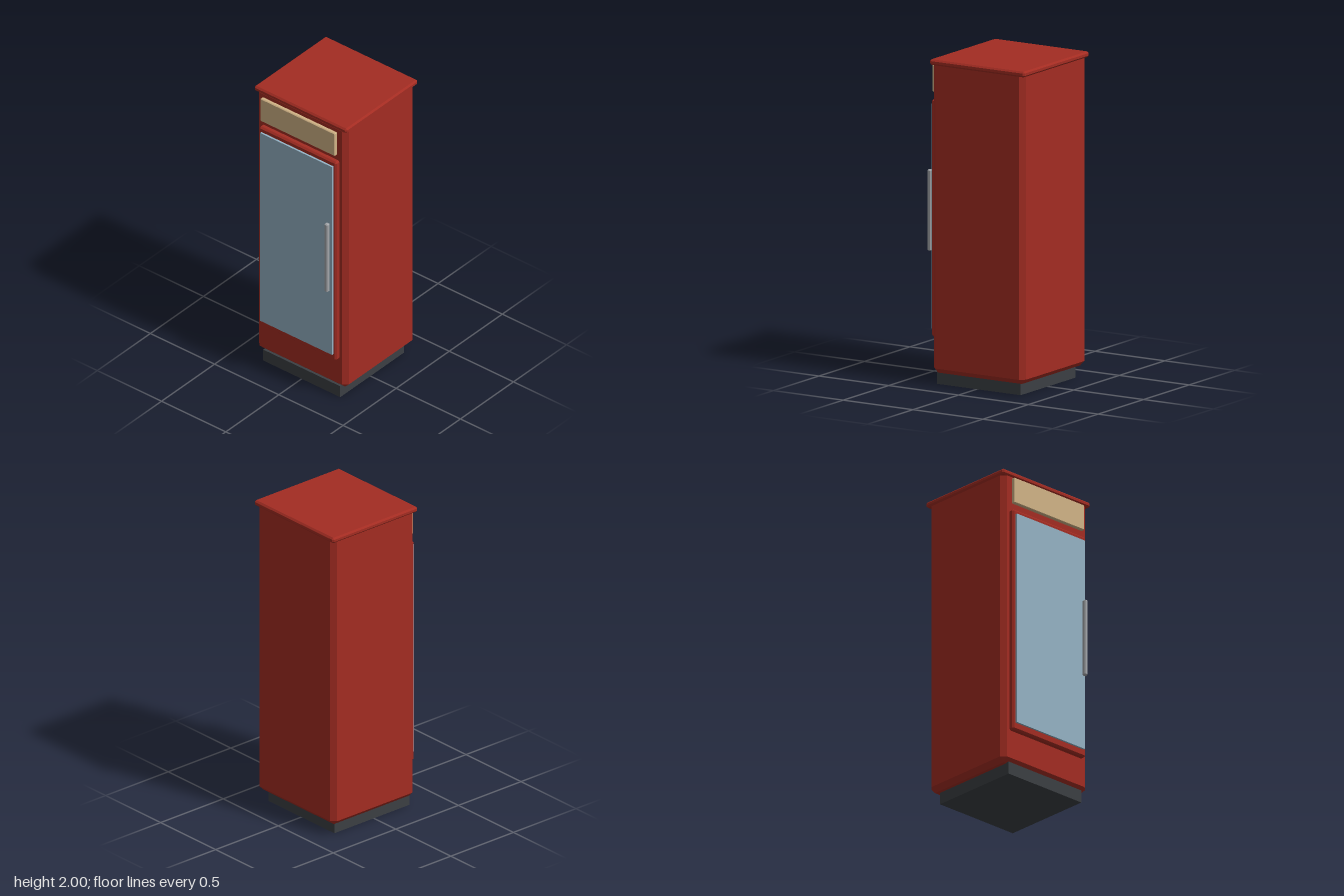
import * as THREE from 'three';
import { ConvexGeometry } from 'three/addons/geometries/ConvexGeometry.js';

function material(name, color) {
  const m = new THREE.MeshStandardMaterial({ color });
  m.name = name;
  return m;
}

// Box with every edge and corner cut flat by c
function chamferBox(w, h, d, c) {
  const pts = [];
  for (const x of [-1, 1]) for (const y of [-1, 1]) for (const z of [-1, 1]) {
    const [X, Y, Z] = [x * w / 2, y * h / 2, z * d / 2];
    pts.push(
      new THREE.Vector3(X, Y - y * c, Z - z * c),
      new THREE.Vector3(X - x * c, Y, Z - z * c),
      new THREE.Vector3(X - x * c, Y - y * c, Z));
  }
  return new ConvexGeometry(pts);
}

export function createModel() {
  const group = new THREE.Group();
  group.name = 'displayFridge';

  const red = material('red enamel', 0xa32c22);
  const cream = material('cream panel', 0xd1b386);
  const glass = material('blue glass', 0x94b2c4);
  const dark = material('dark plinth', 0x3b3f43);
  const steel = material('steel', 0xa3a6aa);

  // Adds a part from its min and max extents
  const add = (name, mat, [x0, x1], [y0, y1], [z0, z1], c = 0) => {
    const size = [x1 - x0, y1 - y0, z1 - z0];
    const geo = c ? chamferBox(...size, c) : new THREE.BoxGeometry(...size);
    const mesh = new THREE.Mesh(geo, mat);
    mesh.name = name;
    mesh.position.set((x0 + x1) / 2, (y0 + y1) / 2, (z0 + z1) / 2);
    group.add(mesh);
  };

  // Cabinet
  add('plinth', dark, [-0.3, 0.3], [0, 0.08], [-0.315, 0.285]);
  add('cabinet', red, [-0.35, 0.35], [0.075, 1.995], [-0.367, 0.293], 0.03);
  add('topSlab', red, [-0.36, 0.36], [1.965, 2], [-0.378, 0.301], 0.01);

  // Header panel and door
  add('headerPanel', cream, [-0.29, 0.29], [1.785, 1.952], [0.299, 0.325], 0.005);
  add('doorFrame', red, [-0.3, 0.3], [0.285, 1.742], [0.283, 0.325], 0.01);
  add('doorGlass', glass, [-0.28, 0.28], [0.33, 1.71], [0.32, 0.338]);

  // Handle
  add('handle', steel, [0.247, 0.273], [0.802, 1.3], [0.347, 0.375], 0.006);

  return group;
}
